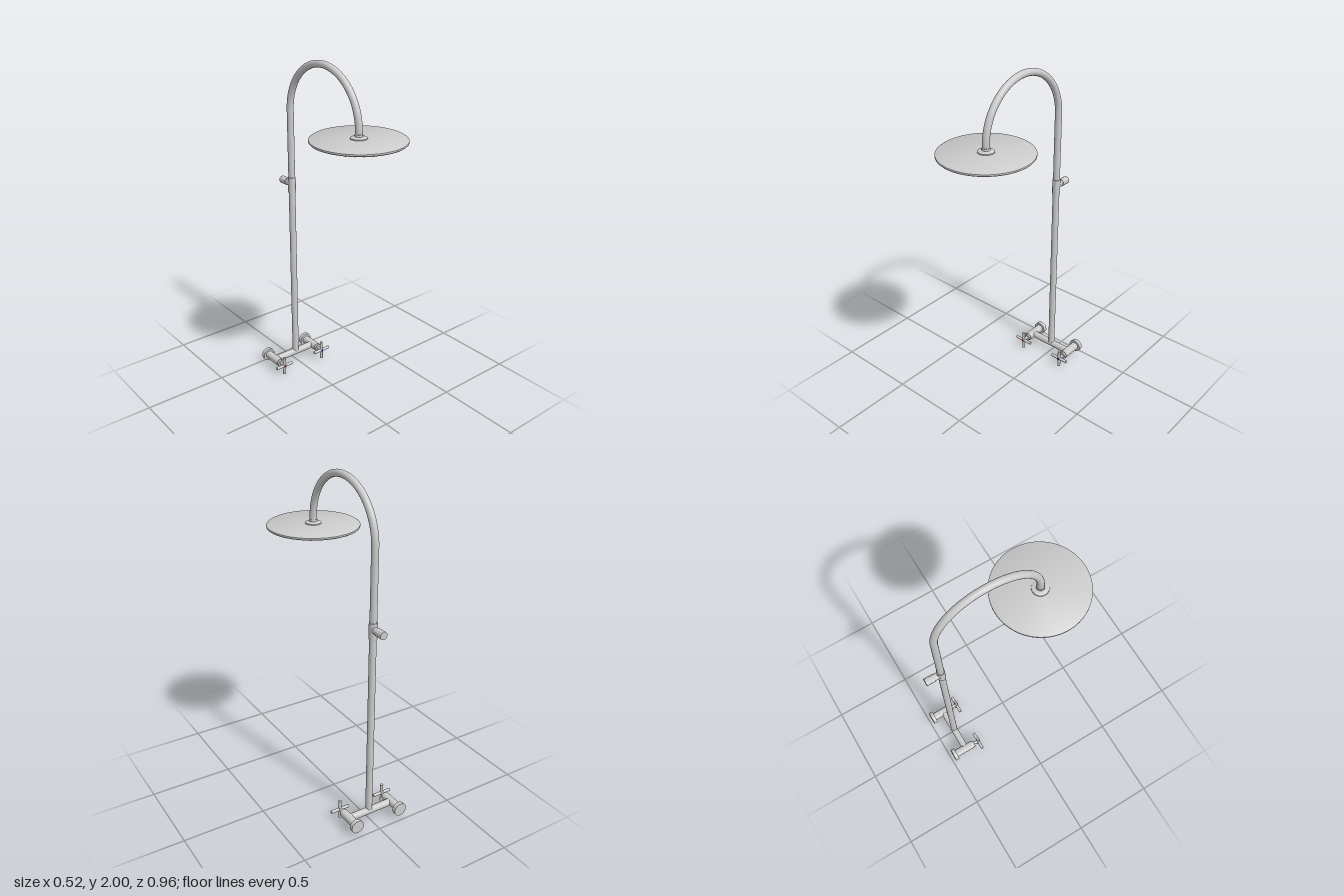
import * as THREE from 'three';
import { mergeGeometries, toCreasedNormals } from 'three/addons/utils/BufferGeometryUtils.js';

const PIPE_R = 0.02, PIPE_Z = -0.385, HEAD_Z = 0.219;
const ARC_R = (HEAD_Z - PIPE_Z) / 2, ARC_Y = 1.98 - ARC_R;
const VALVE_Y = 0.06;

const grey = new THREE.MeshStandardMaterial({ color: 0xcccccc });
const red = new THREE.MeshStandardMaterial({ color: 0xcc2222 });
const blue = new THREE.MeshStandardMaterial({ color: 0x2222cc });

function add(parent, name, geometry, material = grey) {
  const mesh = new THREE.Mesh(geometry, material);
  mesh.name = name;
  parent.add(mesh);
  return mesh;
}

// Solid of revolution from [radius, height] pairs, listed upwards
function turned(points, segments = 48) {
  const profile = points.map(([r, h]) => new THREE.Vector2(r, h));
  return toCreasedNormals(new THREE.LatheGeometry(profile, segments), 0.6);
}

// Half circle from the riser over to the shower head
class ArchCurve extends THREE.Curve {
  getPoint(t, target = new THREE.Vector3()) {
    const a = Math.PI * (1 - t);
    return target.set(0, ARC_Y + ARC_R * Math.sin(a),
      (PIPE_Z + HEAD_Z) / 2 + ARC_R * Math.cos(a));
  }
}

function createHead() {
  const head = new THREE.Group();
  head.name = 'showerHead';
  // Thin plate with bevelled rims
  add(head, 'headPlate', turned([
    [0, 1.625], [0.25, 1.625], [0.258, 1.627], [0.262, 1.631],
    [0.262, 1.640], [0.254, 1.645], [0, 1.645],
  ], 96));
  // Low flare where the arm meets the plate
  add(head, 'headCollar', turned([
    [0.047, 1.644], [0.046, 1.650], [0.036, 1.655], [0.023, 1.657], [0.022, 1.668], [0.019, 1.668],
  ]));
  // Nozzles in radial rows
  const nozzles = [];
  for (let ring = 0; ring < 10; ring++) {
    const r = 0.024 + ring * 0.0235;
    const count = ring < 1 ? 8 : ring < 3 ? 16 : 32;
    for (let i = 0; i < count; i++) {
      const a = (i / count) * Math.PI * 2;
      nozzles.push(new THREE.CylinderGeometry(0.0045, 0.0035, 0.008, 8)
        .translate(r * Math.cos(a), 1.623, r * Math.sin(a)));
    }
  }
  add(head, 'nozzles', mergeGeometries(nozzles));
  head.position.z = HEAD_Z;
  return head;
}

// Wall flange, valve body, stem and cross handle; built along +z
function createValve(name, x, dotMaterial) {
  const valve = new THREE.Group();
  valve.name = name;
  const body = add(valve, 'valveBody', turned([
    [0, -0.482], [0.04, -0.482], [0.04, -0.458], [0.0255, -0.458], [0.0255, -0.335],
    [0.022, -0.335], [0.022, -0.322], [0.01, -0.322], [0.01, -0.29], [0, -0.29],
  ]));
  body.rotation.x = Math.PI / 2;
  // Cross handle
  for (const angle of [0, Math.PI / 2]) {
    const bar = add(valve, 'handleBar', new THREE.CylinderGeometry(0.0095, 0.0095, 0.118, 24));
    bar.rotation.z = angle;
    bar.position.z = -0.289;
  }
  // Temperature dot
  const dot = add(valve, 'temperatureDot', new THREE.CylinderGeometry(0.007, 0.007, 0.012, 24), dotMaterial);
  dot.rotation.x = Math.PI / 2;
  dot.position.z = -0.283;
  valve.position.set(x, VALVE_Y, 0);
  return valve;
}

export function createModel() {
  const model = new THREE.Group();
  model.name = 'showerColumn';

  // Riser, arch and short drop into the head
  const riser = add(model, 'riserPipe', new THREE.CylinderGeometry(PIPE_R, PIPE_R, ARC_Y - VALVE_Y, 32, 1, true));
  riser.position.set(0, (ARC_Y + VALVE_Y) / 2, PIPE_Z);
  add(model, 'archPipe', new THREE.TubeGeometry(new ArchCurve(), 64, PIPE_R, 32));
  const drop = add(model, 'dropPipe', new THREE.CylinderGeometry(PIPE_R, PIPE_R, ARC_Y - 1.64, 32, 1, true));
  drop.position.set(0, (ARC_Y + 1.64) / 2, HEAD_Z);
  model.add(createHead());

  // Wall bracket: sleeve around the riser and an arm to the wall
  const bracket = new THREE.Group();
  bracket.name = 'wallBracket';
  const sleeve = add(bracket, 'bracketSleeve', turned([
    [0.019, -0.047], [0.0235, -0.047], [0.0235, 0.047], [0.019, 0.047],
  ]));
  sleeve.position.y = -0.008;
  const arm = add(bracket, 'bracketArm', turned([
    [0, 0], [0.0195, 0], [0.0195, 0.042], [0.0225, 0.042], [0.0225, 0.097], [0, 0.097],
  ]));
  arm.rotation.x = -Math.PI / 2;
  bracket.position.set(0, 1.23, PIPE_Z);
  model.add(bracket);

  // Mixer bar joining the two valves
  const bar = add(model, 'mixerBar', new THREE.CylinderGeometry(0.0215, 0.0215, 0.298, 32));
  bar.rotation.z = Math.PI / 2;
  bar.position.set(-0.01, VALVE_Y, -0.387);
  model.add(createValve('hotValve', -0.159, red), createValve('coldValve', 0.139, blue));

  return model;
}
